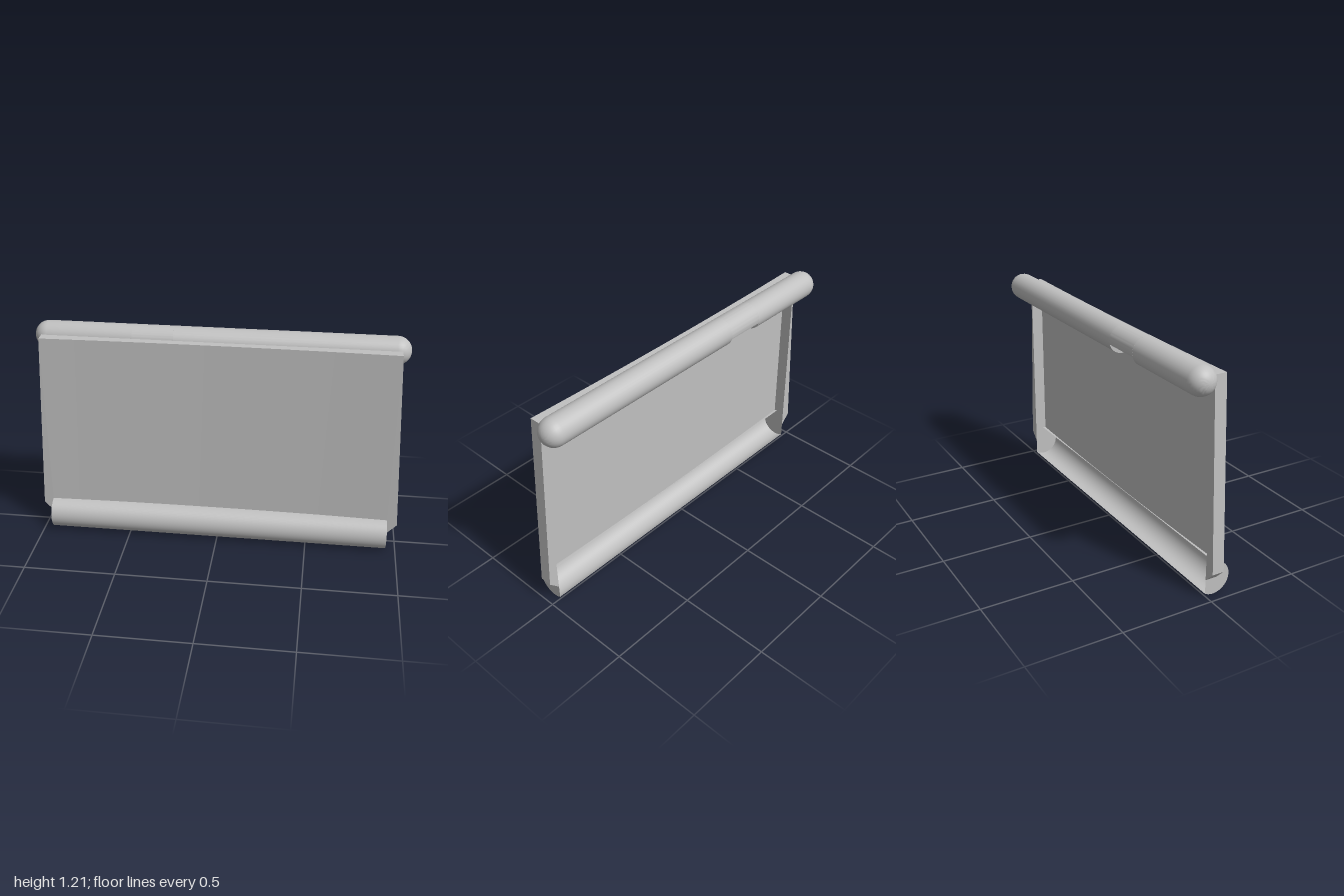
import * as THREE from 'three';
import { toCreasedNormals } from 'three/addons/utils/BufferGeometryUtils.js';

const HALF = 0.945;   // half width of panel and trough
const DEPTH = 0.065;  // depth of the side flanges
const TOP = 1.16;     // top edge of the panel
const rad = THREE.MathUtils.degToRad;

export function createModel() {
  const group = new THREE.Group();
  const grey = new THREE.MeshStandardMaterial({ color: 0xc0c0c0, side: THREE.DoubleSide });
  grey.name = 'light grey';

  const add = (name, geometry) => {
    const mesh = new THREE.Mesh(geometry, grey);
    mesh.name = name;
    group.add(mesh);
    return mesh;
  };

  // Panel front is very slightly hollow across its width
  const panelZ = (x) => DEPTH - 0.014 * (1 - (x / HALF) ** 2);

  // Thin main panel
  const panel = new THREE.PlaneGeometry(2 * HALF, TOP - 0.175, 16, 1);
  panel.translate(0, (TOP + 0.175) / 2, 0);
  const p = panel.attributes.position;
  for (let i = 0; i < p.count; i++) p.setZ(i, panelZ(p.getX(i)));
  panel.computeVertexNormals();
  add('panel', panel);

  // Top ledge, following the panel's curve
  const ledge = new THREE.PlaneGeometry(2 * HALF, 1, 16, 1).rotateX(-Math.PI / 2);
  const l = ledge.attributes.position;
  for (let i = 0; i < l.count; i++) {
    l.setXYZ(i, l.getX(i), TOP, l.getZ(i) > 0 ? panelZ(l.getX(i)) : 0);
  }
  add('topLedge', ledge);

  // Tapered side flanges, widening toward the bottom
  for (const [name, s] of [['leftFlange', 1], ['rightFlange', -1]]) {
    const shape = new THREE.Shape([
      new THREE.Vector2(s * HALF, TOP),
      new THREE.Vector2(s * 1.0, 0.15),
      new THREE.Vector2(s * HALF, 0.092),
    ]);
    add(name, new THREE.ExtrudeGeometry(shape, { depth: DEPTH, bevelEnabled: false }));
  }

  // Bottom trough: hollow round shell, open at the back
  const tr = 0.09, tz = 0.048, ty = 0.09;
  const end = Math.acos(-tz / tr);
  const shell = new THREE.CylinderGeometry(tr, tr, 2 * HALF, 40, 1, true, -end, end + Math.PI / 2);
  shell.rotateZ(Math.PI / 2).translate(0, ty, tz);
  add('trough', shell);

  // Trough end plates
  const capShape = new THREE.Shape();
  capShape.absarc(tz, ty, tr, -end, end, false);
  for (const [name, s] of [['leftTroughEnd', 1], ['rightTroughEnd', -1]]) {
    const cap = new THREE.ShapeGeometry(capShape, 32).rotateY(-Math.PI / 2);
    add(name, cap.translate(s * HALF, 0, 0));
  }

  // Round top bar with domed ends, in two lengths either side of a notch
  const r = 0.075, by = 1.137, bz = -0.062, barEnd = 0.995;
  const notch = [-0.46, -0.24];
  const barPart = (name, start, s) => {
    const length = barEnd - s * start;
    const pts = [new THREE.Vector2(0, 0), new THREE.Vector2(r, 0)];
    for (let i = 0; i <= 10; i++) {
      const a = (i / 10) * Math.PI / 2;
      pts.push(new THREE.Vector2(r * Math.cos(a), length - r + r * Math.sin(a)));
    }
    const g = new THREE.LatheGeometry(pts, 32).rotateZ(-s * Math.PI / 2);
    add(name, toCreasedNormals(g.translate(start, by, bz), rad(35)));
  };
  barPart('topBarLeft', notch[1], 1);
  barPart('topBarRight', notch[0], -1);

  // Notched length of the bar, cut flat on its lower back
  const cut = new THREE.Shape();
  cut.absarc(bz, by, r, rad(305), rad(555), false);
  const mid = new THREE.ExtrudeGeometry(cut, {
    depth: notch[1] - notch[0], bevelEnabled: false, curveSegments: 24,
  });
  mid.rotateY(-Math.PI / 2).translate(notch[1], 0, 0);
  add('topBarNotch', toCreasedNormals(mid, rad(35)));

  return group;
}
